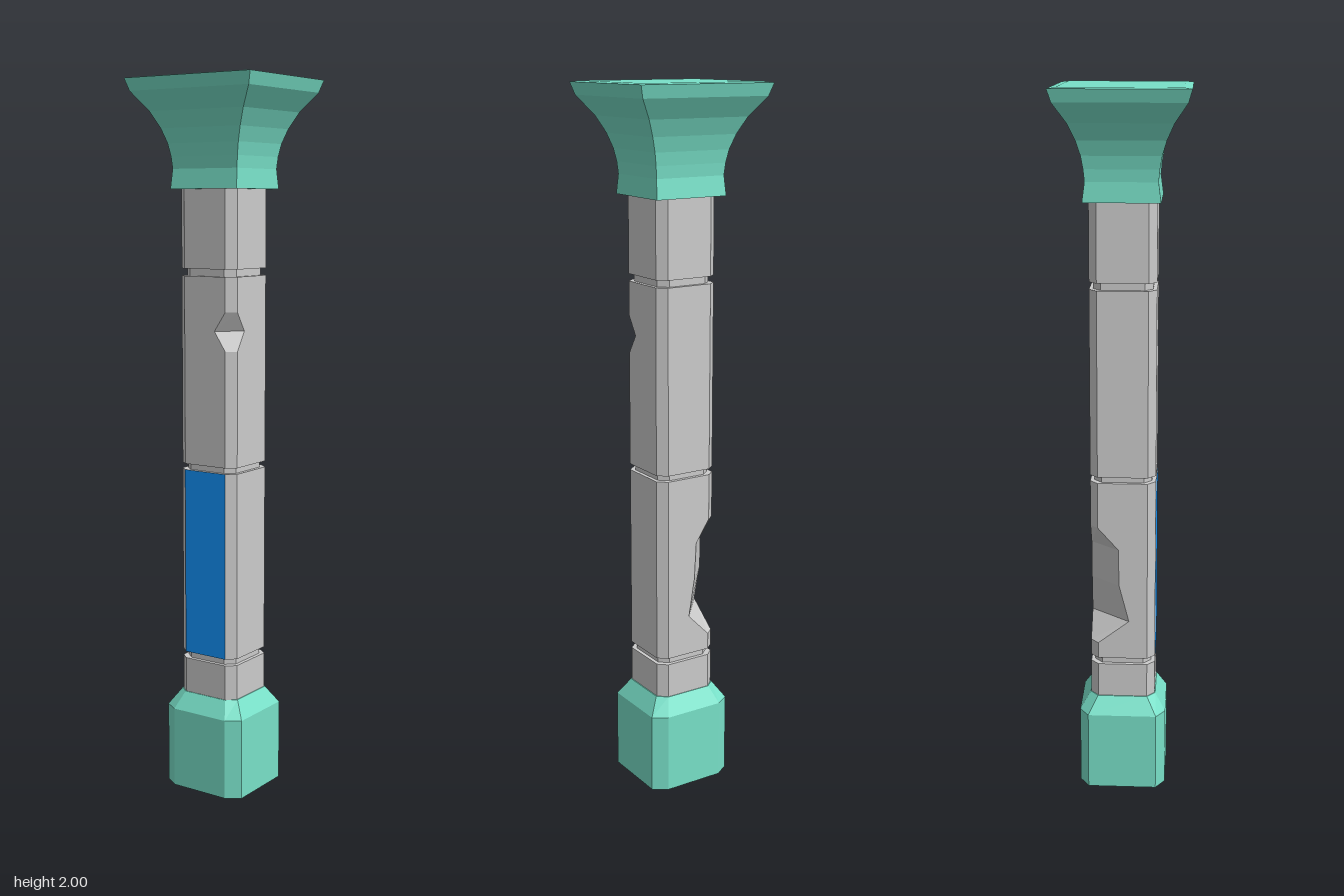
import * as THREE from 'three';

const stone = new THREE.MeshStandardMaterial({ color: 0xcccccc, flatShading: true });
const green = new THREE.MeshStandardMaterial({ color: 0x78e0c8, flatShading: true });
const blue = new THREE.MeshStandardMaterial({ color: 0x1296ff });

const HX = 0.093, HZ = 0.092; // half width and depth of the shaft

// Rectangle with chamfered corners, counterclockwise from above, starting at the front left corner
function ring(y, hx, hz, cx, cz) {
  const points = [
    [hx - cx, hz], [hx, hz - cz], [hx, cz - hz], [hx - cx, -hz],
    [cx - hx, -hz], [-hx, cz - hz], [-hx, hz - cz], [cx - hx, hz],
  ];
  return { y, points };
}

const square = (y, hx, hz) => ({ y, points: [[hx, hz], [hx, -hz], [-hx, -hz], [-hx, hz]] });

// Closed solid through a stack of rings
function loft(name, rings, material) {
  const n = rings[0].points.length;
  const position = [], index = [];
  for (const { y, points } of rings) for (const [x, z] of points) position.push(x, y, z);
  for (let r = 0; r < rings.length - 1; r++) {
    for (let i = 0; i < n; i++) {
      const a = r * n + i, b = r * n + (i + 1) % n;
      index.push(a, b, b + n, a, b + n, a + n);
    }
  }
  const top = (rings.length - 1) * n;
  for (let i = 1; i < n - 1; i++) index.push(0, i + 1, i, top, top + i, top + i + 1);
  const indexed = new THREE.BufferGeometry();
  indexed.setAttribute('position', new THREE.Float32BufferAttribute(position, 3));
  indexed.setIndex(index);
  const geometry = indexed.toNonIndexed();
  geometry.computeVertexNormals();
  const mesh = new THREE.Mesh(geometry, material);
  mesh.name = name;
  return mesh;
}

const shaftRing = (y, inset = 0) => ring(y, HX - inset, HZ - inset, 0.025, 0.022);

// Shaft ring whose corner (first point index) is broken back to x on one face and z on the next
function chippedRing(y, corner, x, z) {
  const r = shaftRing(y);
  r.points[corner][0] = x;
  r.points[corner + 1][1] = z;
  return r;
}

export function createModel() {
  const model = new THREE.Group();
  model.name = 'pillar';
  const column = new THREE.Group();
  column.name = 'column';
  column.position.set(-0.002, 0, 0.002);
  model.add(column);

  // Chamfered foot with sloping shoulder
  column.add(loft('base', [
    ring(0, 0.128, 0.124, 0.04, 0.026),
    ring(0.23, 0.128, 0.124, 0.04, 0.026),
    ring(0.278, 0.096, 0.094, 0.027, 0.023),
  ], green));

  // Stone courses, two of them with a broken corner
  const frontChip = [
    shaftRing(1.266), chippedRing(1.32, 0, 0.032, 0.036), shaftRing(1.373),
  ];
  const backChip = [
    shaftRing(0.444), chippedRing(0.512, 4, -0.002, 0.018),
    chippedRing(0.622, 4, -0.02, -0.01), chippedRing(0.73, 4, -0.026, -0.012),
    shaftRing(0.795),
  ];
  const courses = [
    ['lowerCourse', 0.27, 0.378, []],
    ['panelCourse', 0.397, 0.927, backChip],
    ['upperCourse', 0.944, 1.468, frontChip],
    ['topCourse', 1.488, 1.705, []],
  ];
  courses.forEach(([name, y0, y1, chips], i) => {
    column.add(loft(name, [shaftRing(y0), ...chips, shaftRing(y1)], stone));
    // Recessed joint up to the next course
    if (i < courses.length - 1) {
      column.add(loft('joint', [shaftRing(y1, 0.011), shaftRing(courses[i + 1][1], 0.011)], stone));
    }
  });

  // Coloured panel on the front face
  const panel = new THREE.Mesh(new THREE.PlaneGeometry(2 * (HX - 0.025), 0.53), blue);
  panel.name = 'frontPanel';
  panel.position.set(0, 0.662, HZ + 0.001);
  column.add(panel);

  // Flared square capital, its top edge falling away slightly
  const flare = [
    [1.703, 0.109, 0.104], [1.757, 0.106, 0.097], [1.79, 0.109, 0.1], [1.825, 0.116, 0.106],
    [1.865, 0.13, 0.118], [1.91, 0.153, 0.138], [1.963, 0.193, 0.173],
    [1.997, 0.204, 0.183], [2.0, 0.184, 0.161],
  ];
  model.add(loft('capital', flare.map((p) => square(...p)), green));

  return model;
}
